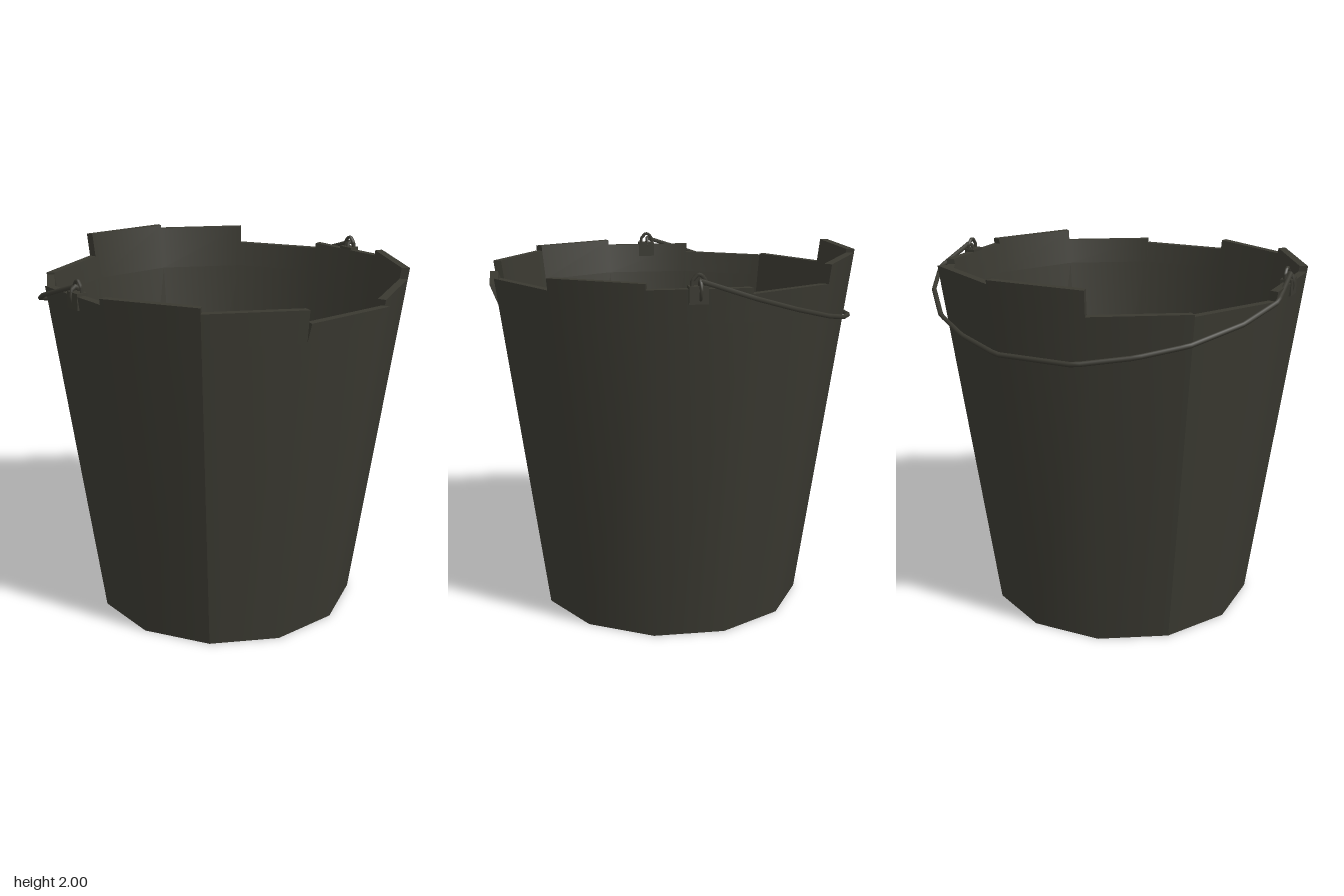
import * as THREE from 'three';

const wood = new THREE.MeshStandardMaterial({ color: 0x3a3931 });
wood.name = 'weathered dark wood';

const CX = -0.015;      // bucket axis
const STEP = Math.PI / 6;
const THICK = 0.043;
const SPLIT = 1.74;     // staves separate above this height
// stave tops, starting at the front and turning towards +x
const TOPS = [1.85, 1.88, 1.94, 1.91, 1.88, 1.98, 2.0, 1.87, 1.86, 1.91, 1.94, 1.91];
const SEAMS = [7.5, 10.5]; // hard edges, in stave steps

const apothem = (y) => 0.72 + 0.131 * y;

// point on the twelve-sided outline at a corner angle
function corner(a, ap, y) {
  const r = ap / Math.cos(STEP / 2);
  return [CX + r * Math.sin(a), y, r * Math.cos(a)];
}

function staveGeometry(i) {
  const pos = [], nor = [];
  const aL = (i - 0.5) * STEP, aR = (i + 0.5) * STEP, mid = i * STEP;
  const nL = SEAMS.includes(i - 0.5) ? mid : aL;
  const nR = SEAMS.includes(i + 0.5) ? mid : aR;
  const dir = (a, s) => new THREE.Vector3(s * Math.sin(a), -0.13 * s, s * Math.cos(a)).normalize().toArray();
  const quad = (a, b, c, d, n) => {
    const flat = new THREE.Vector3().subVectors(new THREE.Vector3(...b), new THREE.Vector3(...a))
      .cross(new THREE.Vector3().subVectors(new THREE.Vector3(...c), new THREE.Vector3(...a))).normalize().toArray();
    const p = [a, b, c, d], m = n || [flat, flat, flat, flat];
    for (const k of [0, 1, 2, 0, 2, 3]) { pos.push(...p[k]); nor.push(...m[k]); }
  };
  const top = TOPS[i];
  const lean = i === 0 ? 0.028 : 0;
  const rings = [0, SPLIT, top].map((y, k) => {
    const ap = apothem(y) + (k === 2 ? lean : 0);
    return {
      oL: corner(aL, ap, y), oR: corner(aR, ap, y),
      iL: corner(aL, ap - THICK, y), iR: corner(aR, ap - THICK, y),
    };
  });
  const [b, m, t] = rings;
  for (const [p, q] of [[b, m], [m, t]]) {
    quad(p.oL, p.oR, q.oR, q.oL, [dir(nL, 1), dir(nR, 1), dir(nR, 1), dir(nL, 1)]);
    quad(p.iR, p.iL, q.iL, q.iR, [dir(nR, -1), dir(nL, -1), dir(nL, -1), dir(nR, -1)]);
  }
  quad(t.oL, t.oR, t.iR, t.iL);  // top end
  quad(b.iL, b.iR, b.oR, b.oL);  // bottom end
  quad(m.oR, m.iR, t.iR, t.oR);  // exposed sides
  quad(m.iL, m.oL, t.oL, t.iL);
  const g = new THREE.BufferGeometry();
  g.setAttribute('position', new THREE.Float32BufferAttribute(pos, 3));
  g.setAttribute('normal', new THREE.Float32BufferAttribute(nor, 3));
  return g;
}

// tube following straight pieces between points
function wire(points, radius, segments) {
  const path = new THREE.CurvePath();
  const v = points.map((p) => new THREE.Vector3(...p));
  for (let i = 1; i < v.length; i++) path.add(new THREE.LineCurve3(v[i - 1], v[i]));
  return new THREE.TubeGeometry(path, segments, radius, 6);
}

export function createModel() {
  const model = new THREE.Group();
  model.name = 'bucket';
  const add = (geometry, name, parent = model) => {
    const mesh = new THREE.Mesh(geometry, wood);
    mesh.name = name;
    parent.add(mesh);
    return mesh;
  };

  // staves
  const staves = new THREE.Group();
  staves.name = 'staves';
  model.add(staves);
  TOPS.forEach((_, i) => add(staveGeometry(i), `stave${i + 1}`, staves));

  // recessed floor
  const r = 0.683 / Math.cos(STEP / 2);
  const floor = add(new THREE.CylinderGeometry(r, r, 0.02, 12), 'floor');
  floor.position.set(CX, 0.025, 0);
  floor.rotation.y = STEP / 2;

  // ears with a staple and the hooked end of the bail
  for (const side of [1, -1]) {
    const ear = new THREE.Group();
    ear.name = side > 0 ? 'leftEar' : 'rightEar';
    model.add(ear);
    add(new THREE.BoxGeometry(0.06, 0.085, 0.095), 'earBlock', ear)
      .position.set(side * 0.95 + CX * 0.5, 1.882, 0.008);
    const x = side * 0.95;
    add(wire([[x, 1.9, 0.042], [x, 1.95, 0.038], [x, 1.98, 0.012], [x, 1.975, -0.008],
      [x, 1.95, -0.028], [x, 1.9, -0.03]], 0.01, 20), 'staple', ear);
    const hook = add(new THREE.TorusGeometry(0.028, 0.009, 6, 8), 'hook', ear);
    hook.scale.y = 1.6;
    hook.position.set(side * 0.962, 1.905, 0);
  }

  // bail, hanging down behind the back
  const half = [[0.97, 0], [0.99, -0.27], [0.89, -0.49], [0.7, -0.715], [0.48, -0.86], [0.21, -0.975]];
  const outline = [...half, ...half.map(([x, z]) => [-x, z]).reverse()];
  add(wire(outline.map(([x, z]) => [x, 1.95 + 0.325 * z, z]), 0.013, 66), 'bail');

  return model;
}
